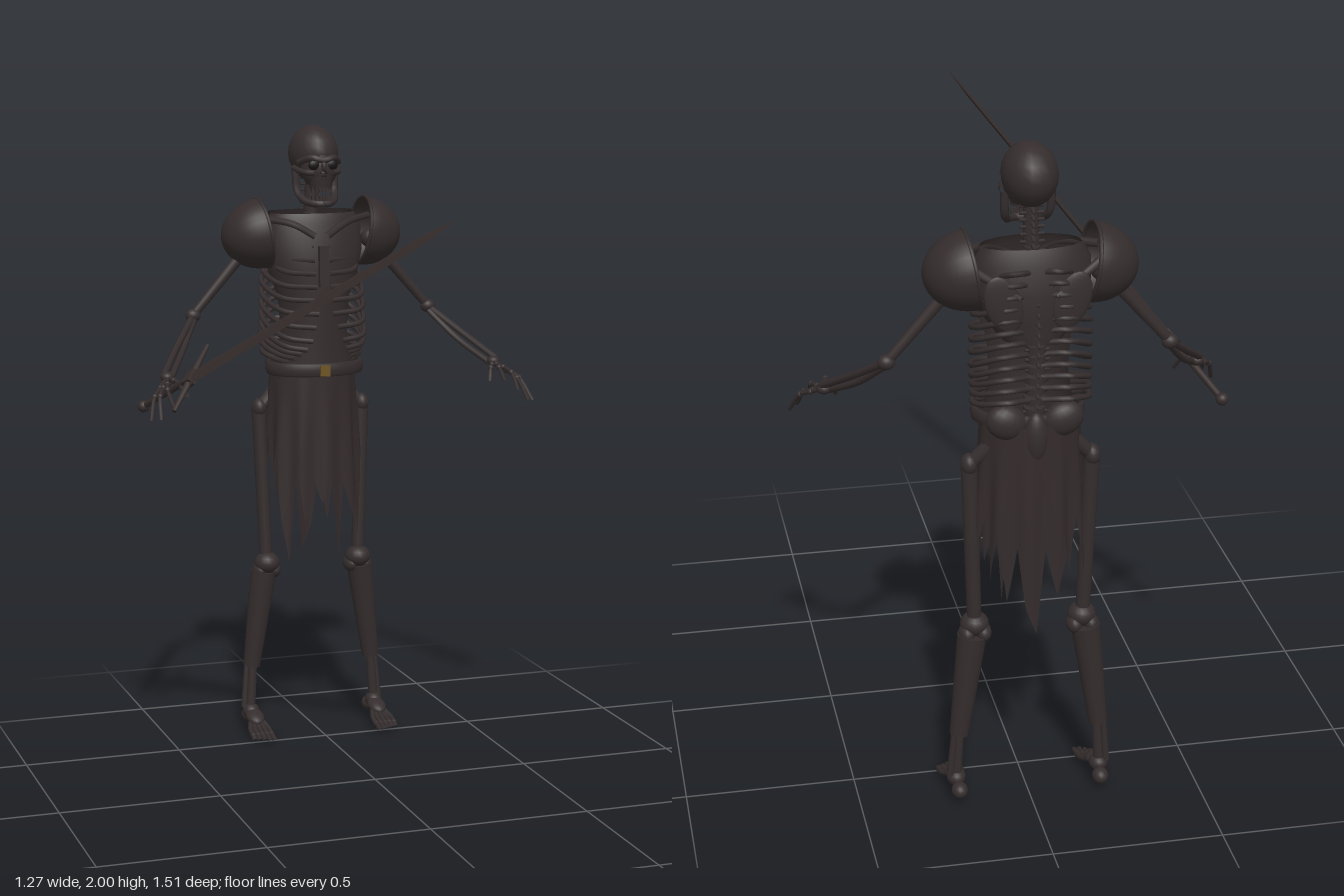
import * as THREE from 'three';

const V = (x, y, z) => new THREE.Vector3(x, y, z);
const material = (name, color, side = THREE.FrontSide) => {
  const m = new THREE.MeshStandardMaterial({ color, side });
  m.name = name;
  return m;
};

export function createModel() {
  const root = new THREE.Group();
  root.name = 'skeletonWarrior';
  const bone = material('darkBone', 0x352d2d);
  const plate = material('darkPlate', 0x342c2c, THREE.DoubleSide);
  const cloth = material('tatteredCloth', 0x332a2b, THREE.DoubleSide);
  const steel = material('darkSteel', 0x352d2c);
  const hollow = material('hollow', 0x171314);
  const brass = material('brass', 0x6e5423);

  // ---- helpers
  const add = (name, geo, mat, parent = root) => {
    const m = new THREE.Mesh(geo, mat);
    m.name = name;
    parent.add(m);
    return m;
  };
  const part = (name) => {
    const g = new THREE.Group();
    g.name = name;
    root.add(g);
    return g;
  };
  const ball = (name, p, rx, ry, rz, mat, parent) => {
    const m = add(name, new THREE.SphereGeometry(1, 18, 12), mat, parent);
    m.position.copy(p);
    m.scale.set(rx, ry, rz);
    return m;
  };
  const rod = (name, a, b, ra, rb, mat, parent, sides = 10) => {
    const d = b.clone().sub(a);
    const m = add(name, new THREE.CylinderGeometry(rb, ra, d.length(), sides), mat, parent);
    m.position.copy(a).addScaledVector(d, 0.5);
    m.quaternion.setFromUnitVectors(V(0, 1, 0), d.normalize());
    return m;
  };
  const tube = (name, pts, r, mat, parent, n = 14) =>
    add(name, new THREE.TubeGeometry(new THREE.CatmullRomCurve3(pts), n, r, 6), mat, parent);
  // surface from a function of two grid parameters
  const grid = (name, nu, nv, f, mat, parent) => {
    const pos = [], idx = [];
    for (let j = 0; j <= nv; j++) for (let i = 0; i <= nu; i++) pos.push(...f(i / nu, j / nv));
    for (let j = 0; j < nv; j++) for (let i = 0; i < nu; i++) {
      const a = j * (nu + 1) + i, b = a + nu + 1;
      idx.push(a, b, a + 1, b, b + 1, a + 1);
    }
    const g = new THREE.BufferGeometry();
    g.setAttribute('position', new THREE.Float32BufferAttribute(pos, 3));
    g.setIndex(idx);
    g.computeVertexNormals();
    return add(name, g, mat, parent);
  };
  // elliptical shell through rows of [y, rx, rz, zCentre]
  const shell = (name, rows, t0, t1, mat, parent) => grid(name, 24, rows.length - 1, (u, v) => {
    const [y, rx, rz, zc] = rows[Math.round(v * (rows.length - 1))], t = t0 + (t1 - t0) * u;
    return [rx * Math.sin(t), y, zc + rz * Math.cos(t)];
  }, mat, parent);

  // ---- skull and jaw
  const head = part('skull');
  ball('cranium', V(0, 1.91, -0.612), 0.078, 0.09, 0.102, bone, head);
  ball('face', V(0, 1.865, -0.55), 0.06, 0.065, 0.052, bone, head);
  add('upperJaw', new THREE.CylinderGeometry(0.042, 0.034, 0.05, 14), bone, head).position.set(0, 1.825, -0.535);
  tube('brow', [V(-0.066, 1.885, -0.555), V(-0.035, 1.9, -0.512), V(0, 1.893, -0.503), V(0.035, 1.9, -0.512), V(0.066, 1.885, -0.555)], 0.011, bone, head);
  ball('noseBone', V(0, 1.873, -0.5), 0.009, 0.018, 0.01, bone, head);
  ball('noseHollow', V(0, 1.848, -0.5), 0.012, 0.014, 0.006, hollow, head);
  for (const s of [-1, 1]) {
    ball('eyeSocket', V(s * 0.029, 1.878, -0.508), 0.02, 0.017, 0.009, hollow, head);
    tube('cheekbone', [V(s * 0.028, 1.853, -0.502), V(s * 0.058, 1.855, -0.53), V(s * 0.07, 1.865, -0.6)], 0.01, bone, head);
    tube('jawBranch', [V(s * 0.066, 1.86, -0.595), V(s * 0.062, 1.79, -0.585), V(s * 0.047, 1.762, -0.545), V(s * 0.02, 1.755, -0.515), V(0, 1.755, -0.512)], 0.012, bone, head);
  }
  for (let i = -3; i <= 3; i++) for (const [y, h] of [[1.8, 0.018], [1.772, 0.016]])
    add('tooth', new THREE.BoxGeometry(0.008, h, 0.008), bone, head).position.set(i * 0.01, y, -0.504 - i * i * 0.0022);

  // ---- spine
  const spine = part('spine');
  const spineCurve = new THREE.CatmullRomCurve3([V(0, 1.83, -0.632), V(0, 1.72, -0.645), V(0, 1.56, -0.712), V(0, 1.4, -0.712), V(0, 1.22, -0.69)]);
  for (let i = 0; i <= 22; i++) {
    const p = spineCurve.getPoint(i / 22), w = 0.02 + i * 0.0005;
    add('vertebra', new THREE.CylinderGeometry(w, w, 0.021, 10), bone, spine).position.copy(p);
    rod('spinousProcess', p, V(0, p.y - 0.014, p.z - 0.04), 0.009, 0.004, bone, spine, 6);
    rod('sideProcess', V(-0.034, p.y, p.z - 0.01), V(0.034, p.y, p.z - 0.01), 0.005, 0.005, bone, spine, 6);
  }

  // ---- rib cage
  const ribs = part('ribCage');
  for (let i = 0; i < 12; i++) {
    const y = 1.665 - i * 0.034, w = Math.min(0.162, 0.11 + i * 0.016);
    const drop = i < 8 ? 0.05 + i * 0.008 : 0.1 - (i - 8) * 0.018;
    const fz = i < 8 ? -0.535 + i * 0.01 : -0.475 - (i - 8) * 0.025;
    const fx = i < 6 ? 0.022 : 0.035 + (i - 6) * 0.014;
    for (const s of [-1, 1])
      tube('rib', [V(s * 0.015, y, -0.715), V(s * w * 0.55, y + 0.008, -0.742), V(s * w * 0.95, y - drop * 0.25, -0.69),
        V(s * w, y - drop * 0.55, -0.62), V(s * w * 0.78, y - drop * 0.9, fz - 0.03), V(s * fx, y - drop, fz)], 0.0085, bone, ribs, 22);
  }
  const sternum = add('sternum', new THREE.BoxGeometry(0.03, 0.13, 0.02), bone, ribs);
  sternum.position.set(0, 1.555, -0.505);

  // ---- chest covering and upper back
  const torso = part('torsoCovering');
  shell('chestCover', [[1.72, 0.14, 0.07, -0.63], [1.69, 0.162, 0.085, -0.63], [1.6, 0.165, 0.1, -0.625], [1.53, 0.15, 0.105, -0.625],
    [1.45, 0.12, 0.105, -0.625], [1.34, 0.112, 0.1, -0.625], [1.22, 0.13, 0.1, -0.625]], -1.5, 1.5, plate, torso);
  shell('backCover', [[1.725, 0.14, 0.06, -0.645], [1.68, 0.165, 0.08, -0.645], [1.6, 0.165, 0.095, -0.645], [1.53, 0.14, 0.095, -0.645],
    [1.46, 0.09, 0.092, -0.645]], Math.PI - 1.5, Math.PI + 1.5, plate, torso);
  for (const s of [-1, 1]) {
    tube('collarbone', [V(s * 0.02, 1.65, -0.53), V(s * 0.09, 1.69, -0.55), V(s * 0.19, 1.705, -0.63)], 0.012, bone, torso);
    ball('shoulderBlade', V(s * 0.095, 1.585, -0.735), 0.05, 0.085, 0.012, bone, torso).rotation.z = s * -0.35;
    rod('bladeRidge', V(s * 0.05, 1.6, -0.74), V(s * 0.18, 1.68, -0.7), 0.008, 0.014, bone, torso);
  }

  // ---- belt and pelvis
  const waist = part('belt');
  const profile = [[0.96, -0.022], [1, -0.017], [1.02, 0], [1, 0.017], [0.96, 0.022], [0.9, 0.018], [0.9, -0.018], [0.96, -0.022]];
  const strap = add('beltStrap', new THREE.LatheGeometry(profile.map(p => new THREE.Vector2(...p)), 40), plate, waist);
  strap.scale.set(0.16, 1, 0.112);
  strap.position.set(0, 1.222, -0.608);
  add('buckle', new THREE.BoxGeometry(0.032, 0.034, 0.009), brass, waist).position.set(0, 1.22, -0.492);
  const pelvis = part('pelvis');
  ball('sacrum', V(0, 1.18, -0.722), 0.034, 0.075, 0.028, bone, pelvis);
  for (const s of [-1, 1]) {
    ball('hipBlade', V(s * 0.08, 1.225, -0.705), 0.06, 0.05, 0.035, bone, pelvis).rotation.z = s * 0.4;
    rod('hipJoint', V(s * 0.09, 1.17, -0.67), V(s * 0.17, 1.09, -0.655), 0.025, 0.02, bone, pelvis);
  }

  // ---- tattered skirt: hem heights run around from the front toward the left
  const hem = [0.78, 0.88, 0.58, 0.84, 0.72, 0.92, 0.66, 0.9, 1, 0.95, 1, 0.85, 0.95, 0.74, 0.9, 0.68, 0.85, 0.66,
    0.58, 0.84, 0.7, 0.88, 0.75, 0.92, 0.72, 0.9, 1, 0.94, 1.02, 0.9, 0.98, 0.72, 0.58, 0.9, 0.72, 0.86];
  grid('skirt', 144, 10, (u, v) => {
    const k = u * 36, i = Math.floor(k), f = k - i;
    const bottom = hem[i % 36] * (1 - f) + hem[(i + 1) % 36] * f;
    const y = 1.215 + (bottom - 1.215) * v, d = 1.215 - y, t = u * Math.PI * 2;
    const fold = 1 + 0.05 * Math.min(1, d * 4) * Math.sin(t * 11);
    return [(0.142 + d * 0.05) * fold * Math.sin(t), y, -0.637 + (0.1 + d * 0.022) * fold * Math.cos(t)];
  }, cloth);

  for (const s of [-1, 1]) {
    const side = s > 0 ? 'left' : 'right';
    const P = (x, y, z) => V(s * x, y, z);

    // ---- shoulder armour
    const shoulder = part(side + 'Pauldron');
    shoulder.position.set(s * 0.165, 1.656, -0.635);
    shoulder.rotation.z = s * -0.16;
    const dome = add('dome', new THREE.SphereGeometry(1, 28, 12, 0, Math.PI * 2, 0, Math.PI / 2), plate, shoulder);
    dome.rotation.z = -s * Math.PI / 2;
    dome.scale.set(0.113, 0.135, 0.113);
    const rim = add('rim', new THREE.TorusGeometry(0.111, 0.006, 6, 32), plate, shoulder);
    rim.rotation.y = Math.PI / 2;

    // ---- arm
    const arm = part(side + 'Arm');
    const elbow = P(0.4, 1.4, -0.63), wrist = P(0.545, 1.24, -0.405);
    rod('upperArmBone', P(0.2, 1.63, -0.635), elbow, 0.019, 0.014, bone, arm);
    ball('shoulderJoint', P(0.2, 1.63, -0.635), 0.032, 0.032, 0.032, bone, arm);
    ball('elbowJoint', elbow, 0.025, 0.022, 0.022, bone, arm);
    tube('ulna', [elbow, P(0.487, 1.315, -0.51), wrist.clone().add(P(0.01, 0.008, 0))], 0.011, bone, arm);
    tube('radius', [elbow.clone().add(P(0, -0.015, 0.012)), P(0.466, 1.3, -0.52), wrist.clone().add(P(-0.012, -0.006, 0))], 0.01, bone, arm);

    // ---- hand
    const hand = part(side + 'Hand');
    ball('wristBones', wrist, 0.022, 0.017, 0.022, bone, hand);
    const tips = [[0.63, 1.125, -0.27], [0.605, 1.13, -0.245], [0.565, 1.165, -0.235], [0.525, 1.195, -0.25], [0.5, 1.185, -0.318]];
    tips.forEach(([x, y, z], i) => {
      const tip = P(x, y, z), mid = wrist.clone().lerp(tip, 0.55).add(P(i < 3 ? 0.013 : -0.004, 0.016, 0.004));
      const knuckle = wrist.clone().lerp(mid, 0.55);
      tube(i < 4 ? 'finger' : 'thumb', [wrist, knuckle, mid, tip], 0.0065, bone, hand, 10);
      for (const j of [knuckle, mid]) ball('fingerJoint', j, 0.0095, 0.0095, 0.0095, bone, hand);
    });

    // ---- leg
    const leg = part(side + 'Leg');
    const knee = P(0.158, 0.57, -0.637), ankle = P(0.215, 0.08, -0.648);
    rod('thighBone', P(0.176, 1.09, -0.655), P(0.16, 0.6, -0.643), 0.024, 0.021, bone, leg, 12);
    ball('hipKnob', P(0.176, 1.085, -0.655), 0.024, 0.032, 0.03, bone, leg);
    ball('kneeCap', knee, 0.042, 0.036, 0.042, bone, leg);
    for (const k of [-1, 1]) ball('kneeKnob', P(0.158 + k * 0.024, 0.545, -0.645), 0.024, 0.028, 0.036, bone, leg);
    rod('shinGuard', P(0.167, 0.54, -0.648), P(0.208, 0.22, -0.656), 0.043, 0.028, plate, leg, 20);
    rod('shinBone', P(0.205, 0.24, -0.65), ankle, 0.014, 0.016, bone, leg);
    rod('calfBone', P(0.222, 0.24, -0.662), P(0.235, 0.08, -0.655), 0.009, 0.011, bone, leg);

    // ---- foot
    const foot = part(side + 'Foot');
    ball('ankle', P(0.215, 0.068, -0.645), 0.028, 0.026, 0.032, bone, foot);
    ball('heel', P(0.212, 0.045, -0.685), 0.024, 0.024, 0.029, bone, foot);
    ball('instep', P(0.213, 0.058, -0.605), 0.03, 0.018, 0.045, bone, foot).rotation.x = 0.3;
    for (let i = 0; i < 5; i++) {
      const x = 0.182 + i * 0.0155, end = -0.472 - Math.max(0, i - 1) * 0.008;
      tube('toe', [P(0.2 + i * 0.006, 0.055, -0.61), P(x, 0.03, -0.55), P(x, 0.02, -0.515), P(x, 0.009, end)], 0.0085, bone, foot, 10);
      ball('toeJoint', P(x, 0.02, -0.52), 0.0095, 0.01, 0.012, bone, foot);
    }
  }

  // ---- sword, built along its own y axis from the pommel
  const sword = part('sword');
  const along = V(0.58, 0.67, 1.23).normalize(), across = V(0.15, 0.17, -0.17);
  across.addScaledVector(along, -across.dot(along)).normalize();
  sword.quaternion.setFromRotationMatrix(new THREE.Matrix4().makeBasis(across, along, across.clone().cross(along)));
  sword.position.set(-0.605, 1.14, -0.475);
  ball('pommel', V(0, 0, 0), 0.019, 0.019, 0.019, steel, sword);
  rod('grip', V(0, 0, 0), V(0, 0.26, 0), 0.01, 0.012, steel, sword);
  for (const s of [-1, 1]) rod('crossGuard', V(0, 0.26, 0), V(s * 0.142, 0.26, 0), 0.012, 0.007, steel, sword);
  add('guardBlock', new THREE.BoxGeometry(0.05, 0.035, 0.028), steel, sword).position.y = 0.26;
  const blade = (name, y0, y1, w0, w1) => {
    const g = new THREE.CylinderGeometry(w1, w0, y1 - y0, 4, 1, w1 === 0).toNonIndexed();
    g.scale(1, 1, 0.25);
    g.computeVertexNormals();
    add(name, g, steel, sword).position.y = (y0 + y1) / 2;
  };
  blade('blade', 0.27, 1.39, 0.036, 0.027);
  blade('bladeTip', 1.39, 1.516, 0.027, 0);

  return root;
}
